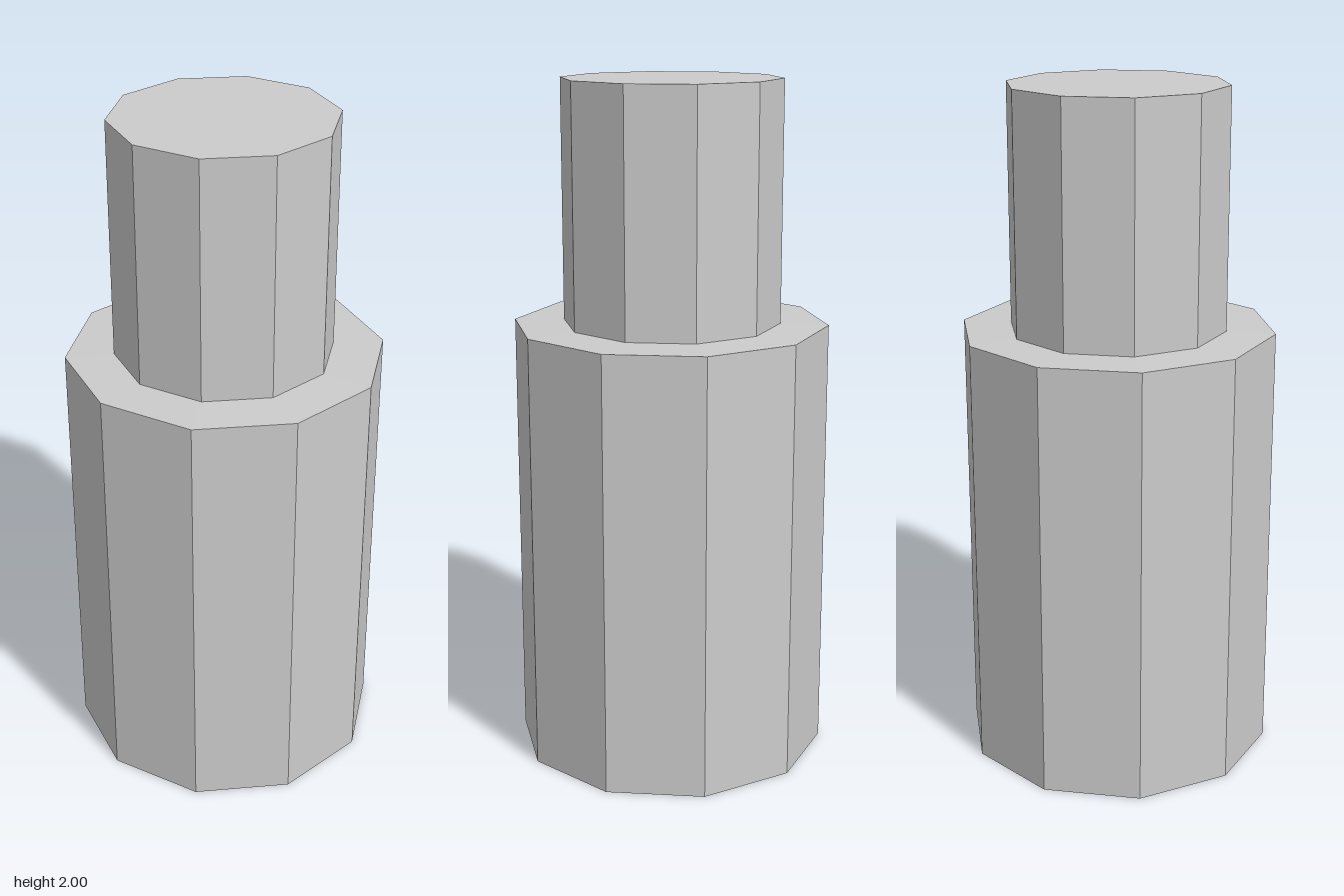
import * as THREE from 'three';

export function createModel() {
  const group = new THREE.Group();
  group.name = 'steppedPillar';
  const material = new THREE.MeshStandardMaterial({
    color: 0xcccccc, flatShading: true, side: THREE.DoubleSide,
  });

  // Ten-sided shell: wide body, flat shoulder, narrow neck, closed top, open bottom
  const profile = [[0.462, 0], [0.462, 1.297], [0.319, 1.3], [0.319, 2], [0, 2]]
    .map(([r, y]) => new THREE.Vector2(r, y));
  const shell = new THREE.LatheGeometry(profile, 10);

  // The neck sits very slightly off the body's axis
  const pos = shell.attributes.position;
  for (let i = 0; i < pos.count; i++) {
    if (pos.getY(i) > 1.298) {
      pos.setX(i, pos.getX(i) - 0.002);
      pos.setZ(i, pos.getZ(i) - 0.003);
    }
  }
  shell.computeVertexNormals();

  const mesh = new THREE.Mesh(shell, material);
  mesh.name = 'bodyAndNeck';
  group.add(mesh);
  return group;
}
